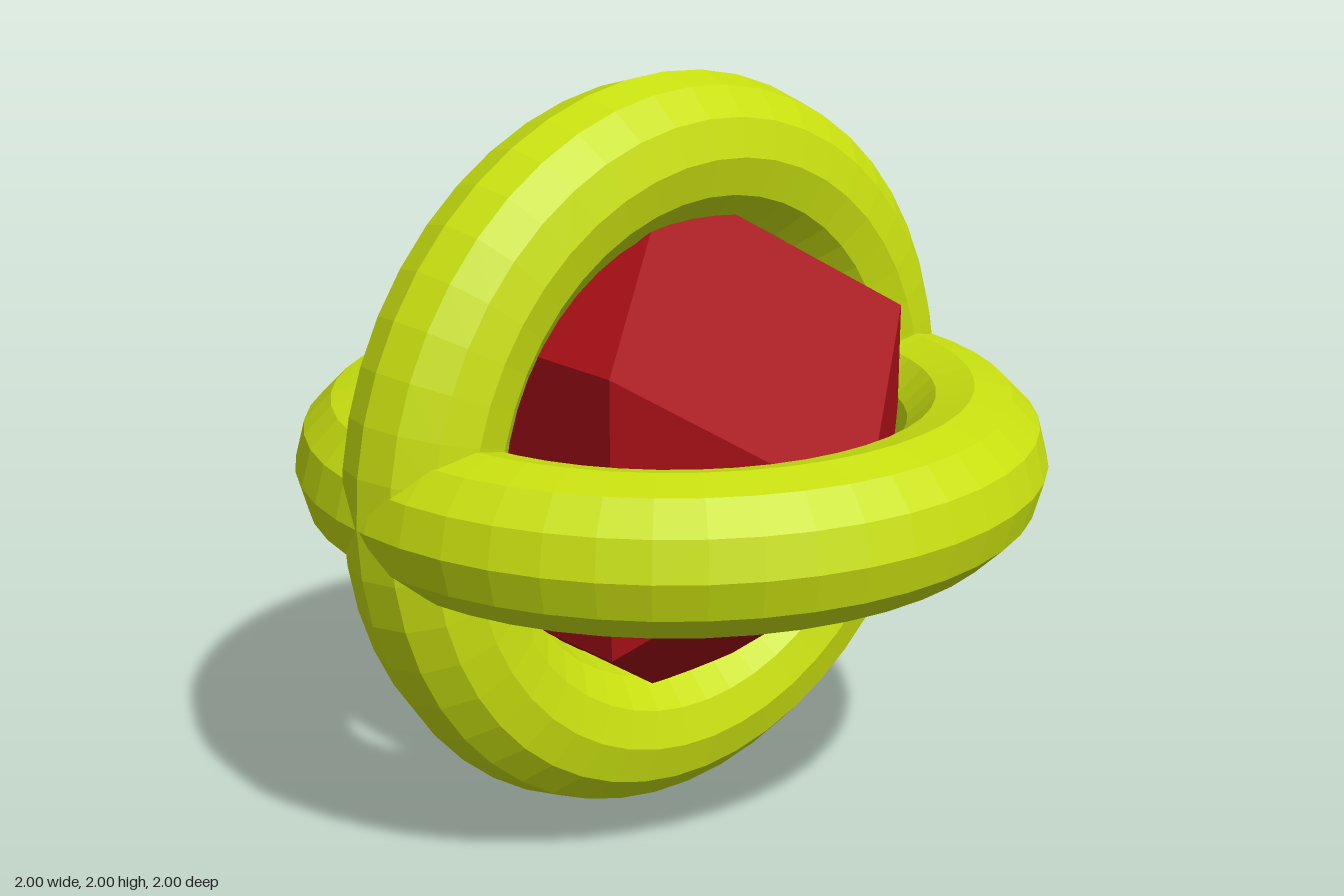
import * as THREE from 'three';
import { ConvexGeometry } from 'three/addons/geometries/ConvexGeometry.js';

export function createModel() {
  const model = new THREE.Group();
  const ringMaterial = new THREE.MeshStandardMaterial({ color: 0xc8e010, flatShading: true });
  const coreMaterial = new THREE.MeshStandardMaterial({ color: 0xa50f16, flatShading: true });

  const addPart = (name, geometry, material, x) => {
    const mesh = new THREE.Mesh(geometry, material);
    mesh.name = name;
    mesh.position.set(x, 1, 0);
    model.add(mesh);
    return mesh;
  };

  // Two crossing rings: one lying flat, one upright facing sideways
  const ring = new THREE.TorusGeometry(0.8, 0.2, 12, 48);
  addPart('horizontalRing', ring, ringMaterial, 0).rotation.x = Math.PI / 2;
  addPart('verticalRing', ring, ringMaterial, -0.03).rotation.y = Math.PI / 2;

  // Cuboctahedron core: square front and back, four points on the x and y axes
  const radius = 0.73;
  const half = radius / 2;
  const depth = radius / Math.SQRT2;
  const points = [];
  for (const s of [-1, 1]) {
    points.push(new THREE.Vector3(s * radius, 0, 0), new THREE.Vector3(0, s * radius, 0));
    for (const t of [-1, 1]) {
      for (const u of [-1, 1]) points.push(new THREE.Vector3(s * half, t * half, u * depth));
    }
  }
  addPart('core', new ConvexGeometry(points), coreMaterial, -0.02);

  return model;
}
